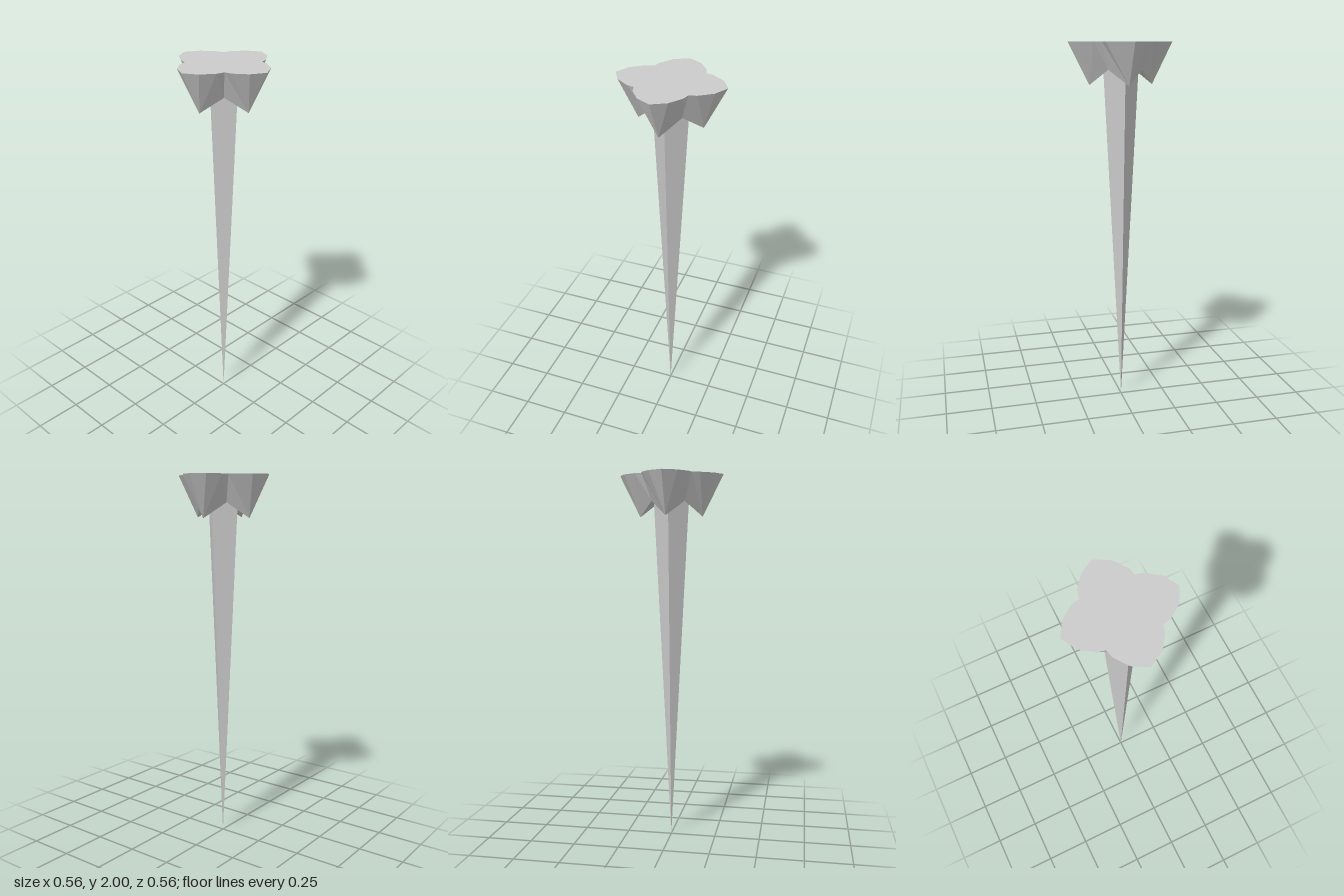
import * as THREE from 'three';

const material = new THREE.MeshStandardMaterial({ color: 0xcccccc, flatShading: true });

// Four-lobed faceted head: flat top, pointed lobe undersides, raised notches between lobes
function headGeometry() {
  const quarter = [[0.281, 0], [0.24, 0.075], [0.173, 0.123], [0.133, 0.133], [0.123, 0.173], [0.075, 0.24]];
  const turn = (x, y, z, k) => {
    for (let i = 0; i < k % 4; i++) [x, z] = [-z, x];
    return [x, y, z];
  };
  const top = [], low = [];
  for (let k = 0; k < 4; k++) {
    quarter.forEach(([x, z], i) => {
      top.push(turn(x, 2, z, k));
      if (i === 3) low.push(turn(0.09, 1.86, 0.09, k));
      else low.push(turn(0.17, 1.78, 0, i < 3 ? k : k + 1));
    });
  }
  const positions = [];
  const tri = (a, b, c) => positions.push(...a, ...b, ...c);
  const topCentre = [0, 2, 0], lowCentre = [0, 1.93, 0];
  for (let i = 0; i < top.length; i++) {
    const j = (i + 1) % top.length;
    tri(topCentre, top[j], top[i]);
    tri(top[i], top[j], low[i]);
    // Only the facets beside a notch have a lower edge
    if (i % 6 === 2 || i % 6 === 3) {
      tri(top[j], low[j], low[i]);
      tri(lowCentre, low[i], low[j]);
    }
  }
  const geometry = new THREE.BufferGeometry();
  geometry.setAttribute('position', new THREE.Float32BufferAttribute(positions, 3));
  geometry.computeVertexNormals();
  return geometry;
}

export function createModel() {
  const group = new THREE.Group();
  group.name = 'spike';

  // Four-sided shaft tapering to a point, its edges facing the axes
  const height = 1.95;
  const shaft = new THREE.Mesh(new THREE.ConeGeometry(0.1, height, 4, 1, true), material);
  shaft.name = 'shaft';
  shaft.rotation.x = Math.PI;
  shaft.position.y = height / 2;
  group.add(shaft);

  const head = new THREE.Mesh(headGeometry(), material);
  head.name = 'head';
  group.add(head);

  return group;
}
